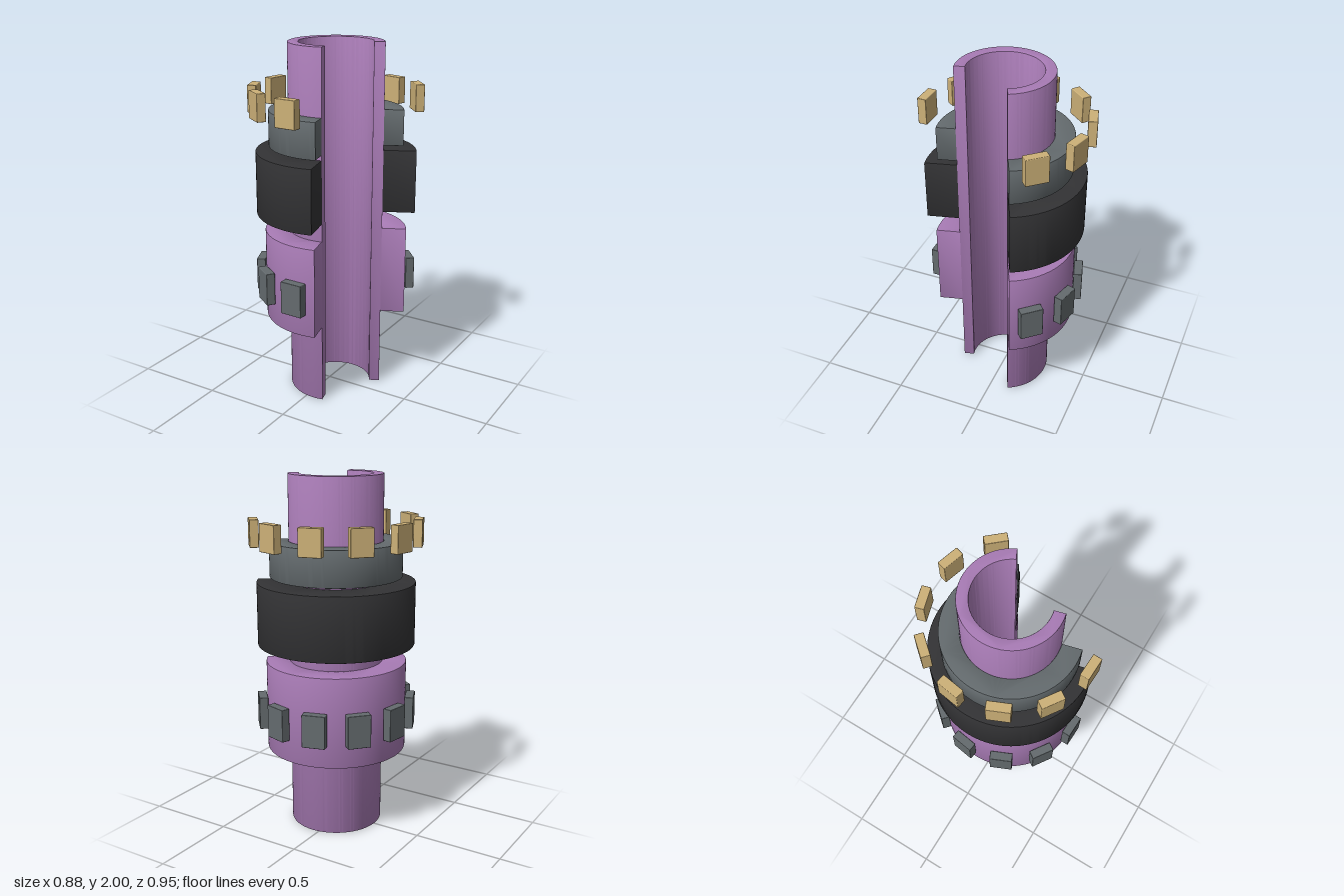
import * as THREE from 'three';
import { toCreasedNormals } from 'three/addons/utils/BufferGeometryUtils.js';
import { RoundedBoxGeometry } from 'three/addons/geometries/RoundedBoxGeometry.js';

const START = THREE.MathUtils.degToRad(25.2);  // counter-clockwise seen from above
const SWEEP = Math.PI * 2 * 0.72;              // the rest is the cutaway
const BEVEL = 0.005;

const mat = (color) => new THREE.MeshStandardMaterial({ color });
const purple = mat(0xa87bb5);
const black = mat(0x333335);
const grey = mat(0x646b6e);
const tan = mat(0xcdb178);

// Cutaway ring with slightly eased edges, standing from y0 to y1
function ring(name, inner, outer, y0, y1, material) {
  const shape = new THREE.Shape();
  shape.absarc(0, 0, outer, START, START + SWEEP, false);
  shape.absarc(0, 0, inner, START + SWEEP, START, true);
  shape.closePath();
  const extruded = new THREE.ExtrudeGeometry(shape, {
    depth: y1 - y0 - 2 * BEVEL,
    curveSegments: 72,
    bevelThickness: BEVEL,
    bevelSize: BEVEL,
    bevelOffset: -BEVEL,
    bevelSegments: 2,
  });
  extruded.rotateX(-Math.PI / 2).translate(0, y0 + BEVEL, 0);
  const mesh = new THREE.Mesh(toCreasedNormals(extruded, 0.6), material);
  mesh.name = name;
  return mesh;
}

// Eight blocks spread evenly round the remaining arc, facing outward
function blockRing(name, width, height, depth, radius, y, material) {
  const group = new THREE.Group();
  group.name = name + 's';
  const geometry = new RoundedBoxGeometry(width, height, depth, 2, 0.004);
  const count = 8;
  for (let i = 0; i < count; i++) {
    const a = START + SWEEP * (i + 0.5) / count;
    const block = new THREE.Mesh(geometry, material);
    block.name = name;
    block.position.set(Math.cos(a) * radius, y, -Math.sin(a) * radius);
    block.rotation.y = a + Math.PI / 2;
    group.add(block);
  }
  return group;
}

export function createModel() {
  const model = new THREE.Group();
  model.name = 'cutawayShaftAssembly';
  model.add(
    ring('innerTube', 0.2, 0.26, 0, 2, purple),
    ring('lowerSleeve', 0.26, 0.395, 0.455, 0.965, purple),
    ring('middleDrum', 0.26, 0.44, 1.06, 1.415, black),
    ring('upperCollar', 0.26, 0.367, 1.44, 1.64, grey),
    blockRing('lowerBlock', 0.13, 0.185, 0.05, 0.421, 0.678, grey),
    blockRing('upperBlock', 0.125, 0.15, 0.05, 0.45, 1.69, tan),
  );
  // Shift the shaft axis so the cutaway body is centred
  for (const part of model.children) part.position.x = 0.04;
  return model;
}
